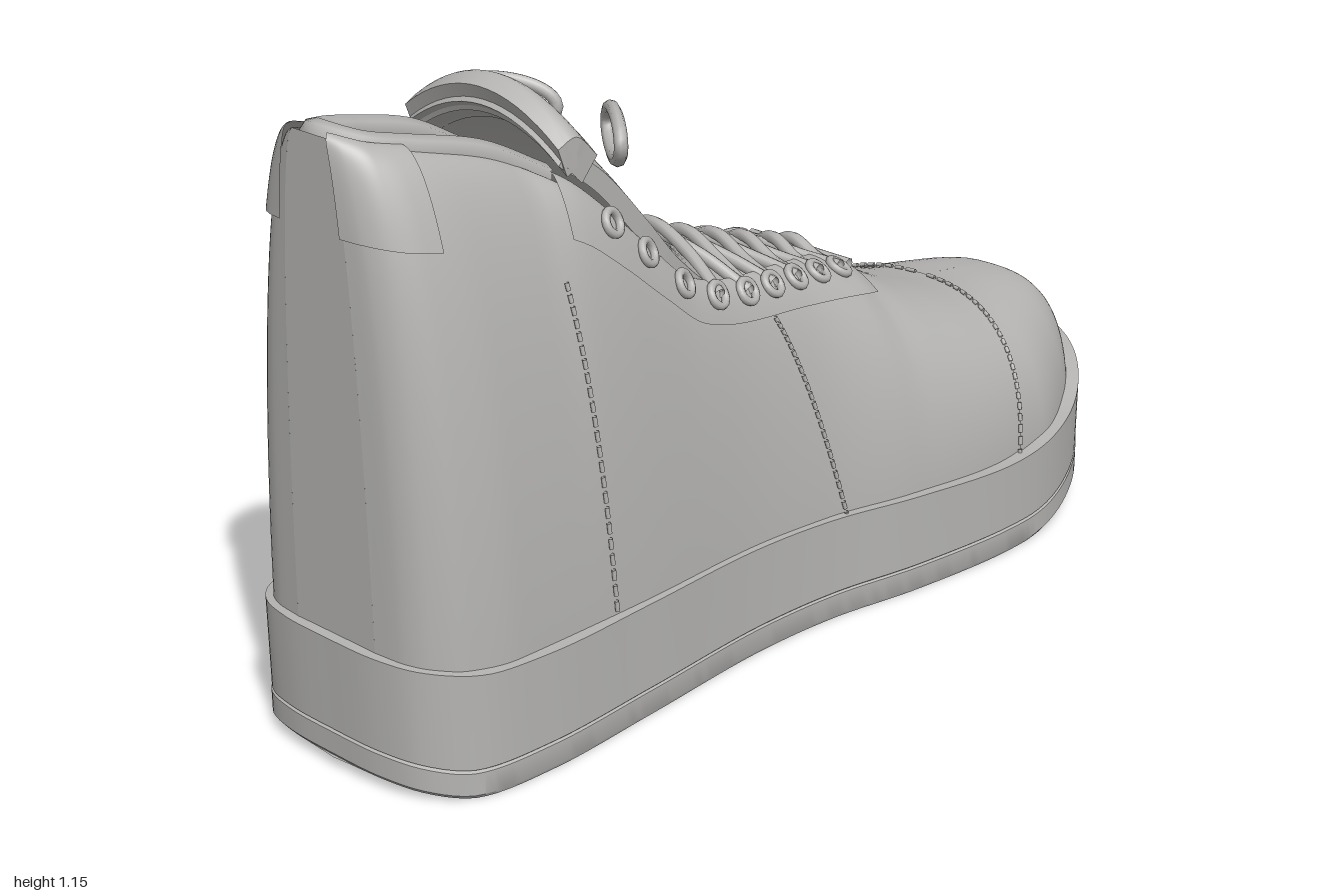
import * as THREE from 'three';
import { toCreasedNormals } from 'three/addons/utils/BufferGeometryUtils.js';

const V = (x, y, z) => new THREE.Vector3(x, y, z);
const grey = new THREE.MeshStandardMaterial({ color: 0xb5b4b2, side: THREE.DoubleSide });
grey.name = 'plain grey';

// smooth monotone interpolation through [x, value] pairs
function table(p) {
  const d = p.slice(1).map((q, i) => (q[1] - p[i][1]) / (q[0] - p[i][0]));
  const m = p.map((_, i) => i === 0 ? d[0] : i === p.length - 1 ? d[i - 1]
    : d[i - 1] * d[i] <= 0 ? 0 : 2 * d[i - 1] * d[i] / (d[i - 1] + d[i]));
  return (x) => {
    x = Math.min(Math.max(x, p[0][0]), p[p.length - 1][0]);
    let i = 0;
    while (i < p.length - 2 && x > p[i + 1][0]) i++;
    const h = p[i + 1][0] - p[i][0], t = (x - p[i][0]) / h, t2 = t * t, t3 = t2 * t;
    return (2 * t3 - 3 * t2 + 1) * p[i][1] + (t3 - 2 * t2 + t) * h * m[i]
      + (3 * t2 - 2 * t3) * p[i + 1][1] + (t3 - t2) * h * m[i + 1];
  };
}

// surface through rows of points
function loft(rows, closed = false) {
  const n = rows[0].length, pos = [], idx = [];
  rows.forEach((r) => r.forEach((p) => pos.push(p.x, p.y, p.z)));
  for (let i = 0; i < rows.length - 1; i++) for (let j = 0; j < (closed ? n : n - 1); j++) {
    const a = i * n + j, b = i * n + (j + 1) % n, c = a + n, e = b + n;
    idx.push(a, b, c, b, e, c);
  }
  const g = new THREE.BufferGeometry();
  g.setAttribute('position', new THREE.Float32BufferAttribute(pos, 3));
  g.setIndex(idx);
  g.computeVertexNormals();
  return g;
}

// side wall of the upper: base half width, top half width, top height, roundness
const baseW = table([[-0.98, 0.1], [-0.972, 0.16], [-0.95, 0.205], [-0.9, 0.245], [-0.8, 0.265], [-0.5, 0.262], [-0.2, 0.25],
  [0, 0.262], [0.2, 0.3], [0.45, 0.322], [0.6, 0.31], [0.75, 0.25], [0.87, 0.165], [0.93, 0.1], [0.96, 0.03]]);
const topW = table([[-0.98, 0.04], [-0.94, 0.075], [-0.85, 0.095], [-0.65, 0.11], [-0.58, 0.15], [-0.48, 0.17], [-0.3, 0.175],
  [-0.2, 0.165], [0, 0.125], [0.2, 0.05], [0.26, 0], [1, 0]]);
const topY = table([[-0.98, 1.14], [-0.93, 1.12], [-0.85, 1.1], [-0.7, 1.055], [-0.58, 0.99], [-0.5, 0.92], [-0.4, 0.825],
  [-0.3, 0.74], [-0.2, 0.705], [0, 0.67], [0.2, 0.62], [0.4, 0.525], [0.6, 0.46], [0.8, 0.428], [0.88, 0.38], [0.93, 0.31], [0.96, 0.2]]);
const power = table([[-0.98, 1], [0, 1], [0.4, 0.78], [0.96, 0.75]]);
const FLOOR = 0.12;

function wall(x, u, s = 1) {
  const a = u * Math.PI / 2, e = power(x), w = baseW(x), t = Math.min(topW(x), w);
  return V(x, FLOOR + (topY(x) - FLOOR) * Math.sin(a) ** e,
    s * (t + (w - t) * Math.max(Math.cos(a), 0) ** e));
}
function wallNormal(x, u, s) {
  const x0 = Math.max(x - 0.004, -0.98), x1 = Math.min(x + 0.004, 0.96);
  const u0 = Math.max(u - 0.02, 0), u1 = Math.min(u + 0.02, 1);
  const dx = wall(x1, u, s).sub(wall(x0, u, s)), du = wall(x, u1, s).sub(wall(x, u0, s));
  return dx.cross(du).multiplyScalar(s).normalize();
}
const onWall = (x, u, s, lift) => wall(x, u, s).addScaledVector(wallNormal(x, u, s), lift);

// arched sheet across z along a centre line of [x, y, half width]
function slab(pts, thick, steps = 20) {
  const c = new THREE.CatmullRomCurve3(pts.map((p) => V(...p)));
  const rows = [];
  for (let i = -1; i <= steps + 1; i++) {
    const t = Math.min(Math.max(i / steps, 0), 1), p = c.getPoint(t), d = c.getTangent(t);
    const n = V(-d.y, d.x, 0).normalize();
    if (n.y < 0) n.negate();
    const th = i < 0 || i > steps ? 0 : thick, top = [], low = [];
    for (let j = 0; j <= 16; j++) {
      const z = p.z * (j / 8 - 1), q = V(p.x, p.y - 2 * z * z, z);
      top.push(q);
      low.unshift(q.clone().addScaledVector(n, -th));
    }
    rows.push([...top, ...low]);
  }
  return toCreasedNormals(loft(rows, true), 0.7);
}

export function createModel() {
  const model = new THREE.Group();
  const add = (name, geo) => {
    const m = new THREE.Mesh(geo, grey);
    m.name = name;
    model.add(m);
    return m;
  };
  const tube = (name, pts, r, closed = false, n = 40) =>
    add(name, new THREE.TubeGeometry(new THREE.CatmullRomCurve3(pts, closed), n, r, 8, closed));

  // cup sole: outline swept through bottom, groove, wall, rim and floor
  const half = [[-0.995, 0.12], [-0.97, 0.2], [-0.9, 0.262], [-0.75, 0.285], [-0.5, 0.277], [-0.2, 0.263], [0, 0.277],
    [0.2, 0.318], [0.45, 0.346], [0.6, 0.335], [0.75, 0.28], [0.87, 0.195], [0.96, 0.09]];
  const ring = [V(-1, 0, 0), ...half.map(([x, z]) => V(x, 0, z)), V(1, 0, 0),
    ...half.slice().reverse().map(([x, z]) => V(x, 0, -z))];
  const outline = new THREE.CatmullRomCurve3(ring, true).getSpacedPoints(260).slice(0, -1);
  const rim = table([[-1, 0.25], [-0.85, 0.23], [-0.2, 0.215], [0.2, 0.2], [0.45, 0.19], [0.7, 0.21], [0.9, 0.25], [1, 0.26]]);
  const ground = table([[-1, 0.02], [-0.9, 0], [0.5, 0], [0.75, 0.025], [1, 0.075]]);
  const seam = (x) => ground(x) + 0.05;
  const rimY = (x, z) => rim(x) - (x > 0.9 && Math.abs(z) < 0.026 ? 0.028 : 0);
  const row = (k, y) => outline.map((p) => V(p.x * (1 - (1 - k) * 0.4), y(p.x, p.z), p.z * k));
  add('sole', toCreasedNormals(loft([
    outline.map((p) => V(p.x, ground(p.x), 0)), row(0.985, ground), row(1, (x) => ground(x) + 0.008),
    row(1, seam), row(0.985, (x) => seam(x) + 0.003), row(0.997, (x) => seam(x) + 0.006),
    row(1, rimY), row(0.92, rimY), row(0.92, () => FLOOR), outline.map((p) => V(p.x * 0.96, FLOOR, 0)),
  ], true), 0.6));

  // flat back of the heel
  const us = (a, b, n) => Array.from({ length: n + 1 }, (_, i) => a + (b - a) * i / n);
  add('heelBack', loft(us(0, 1, 24).map((u) => [wall(-0.98, u, 1), wall(-0.98, u, -1)])));

  // raised panel over a region of the wall; x limits may lean with u
  const panel = (name, x0, x1, u0, u1, lift, s, n = 30) =>
    add(name, loft(us(u0, u1, 20).map((u) => us(x0(u), x1(u), n).map((x) => onWall(x, u, s, lift)))));
  const k = (v) => () => v;
  const eyeletX = [-0.51, -0.43, -0.34, -0.25, -0.16, -0.08, 0, 0.08, 0.16];
  const toeSeam = (u) => 0.5 + 0.085 * u;
  const seams = [(u) => -0.565 - 0.1 * u, (u) => 0.06 - 0.22 * u, toeSeam];
  const seamEnd = [0.6, 0.7, 1];

  for (const s of [1, -1]) {
    const side = s > 0 ? 'left' : 'right';
    const xs = us(0, Math.PI, 110).map((t) => -0.01 - 0.97 * Math.cos(t));
    add(side + 'Upper', loft(us(0, 1, 36).map((u) => xs.map((x) => wall(x, u, s)))));
    panel(side + 'ToeCap', toeSeam, k(0.955), 0, 1, 0.004, s, 50);
    panel(side + 'HeelTab', k(-0.98), k(-0.87), 0.64, 1, 0.01, s);
    panel(side + 'Eyestay', k(-0.6), k(0.24), 0.7, 1, 0.012, s, 50);

    // stitched seams made of short dashes
    seams.forEach((f, i) => {
      for (let j = 0; j < 24; j++) {
        const a = 0.06 + (seamEnd[i] - 0.06) * j / 24, b = a + (seamEnd[i] - 0.06) / 36;
        tube(side + 'Stitch', [a, (a + b) / 2, b].map((u) => onWall(f(u), u, s, 0.005)), 0.004, false, 3);
      }
    });

    // eyelets
    for (const x of eyeletX) {
      const e = add(side + 'Eyelet', new THREE.TorusGeometry(0.021, 0.008, 8, 18));
      e.position.copy(onWall(x, 0.85, s, 0.016));
      e.quaternion.setFromUnitVectors(V(0, 0, 1), wallNormal(x, 0.85, s));
    }

    // bow loop
    tube(side + 'LaceLoop', us(0, Math.PI * 2, 16).slice(0, -1).map((a) =>
      V(-0.435 - 0.06 * Math.cos(a), 1.04 + 0.042 * Math.sin(a) + 0.008 * Math.cos(a), s * (0.138 + 0.076 * Math.cos(a)))),
      0.012, true, 48);
  }

  // tongue with padded top and patch
  const spine = [[0.22, 0.612, 0.05], [0, 0.68, 0.13], [-0.2, 0.755, 0.165], [-0.31, 0.845, 0.175], [-0.4, 0.95, 0.18],
    [-0.5, 1.06, 0.182], [-0.59, 1.13, 0.185]];
  add('tongue', slab(spine, 0.035, 40));
  add('tonguePad', slab([[-0.615, 1.135, 0.188], [-0.575, 1.15, 0.19], [-0.525, 1.105, 0.188]], 0.055, 10));
  add('tonguePatch', slab([[-0.362, 0.915, 0.082], [-0.43, 0.994, 0.082], [-0.488, 1.06, 0.082]], 0.012, 10));

  // criss-cross laces
  const tongueY = table(spine.slice().reverse().map((p) => [p[0], p[1]]));
  const laced = eyeletX.slice(3);
  for (let i = 0; i < laced.length; i++) for (const s of [1, -1]) {
    const a = laced[i], b = i + 1 < laced.length ? laced[i + 1] : a + 0.04, m = (a + b) / 2;
    const p = onWall(a, 0.85, s, 0.018), q = onWall(b, 0.85, -s, 0.018);
    const over = (t) => {
      const r = p.clone().lerp(q, t);
      r.y = Math.max(r.y, tongueY(r.x) - 2 * r.z * r.z + 0.016);
      return r;
    };
    const mid = V(m, tongueY(m) + (s > 0 ? 0.03 : 0.014), (p.z + q.z) / 2);
    tube('lace', [p, over(0.25), mid, over(0.75), q], 0.012);
  }

  // padded collar
  const rimSide = [[-0.57, 0.985, 0.1], [-0.7, 1.055, 0.088], [-0.84, 1.095, 0.076], [-0.92, 1.115, 0.055]];
  tube('collar', [...rimSide.map((p) => V(...p)), V(-0.952, 1.128, 0),
    ...rimSide.slice().reverse().map(([x, y, z]) => V(x, y, -z))], 0.026, false, 70);

  return model;
}
